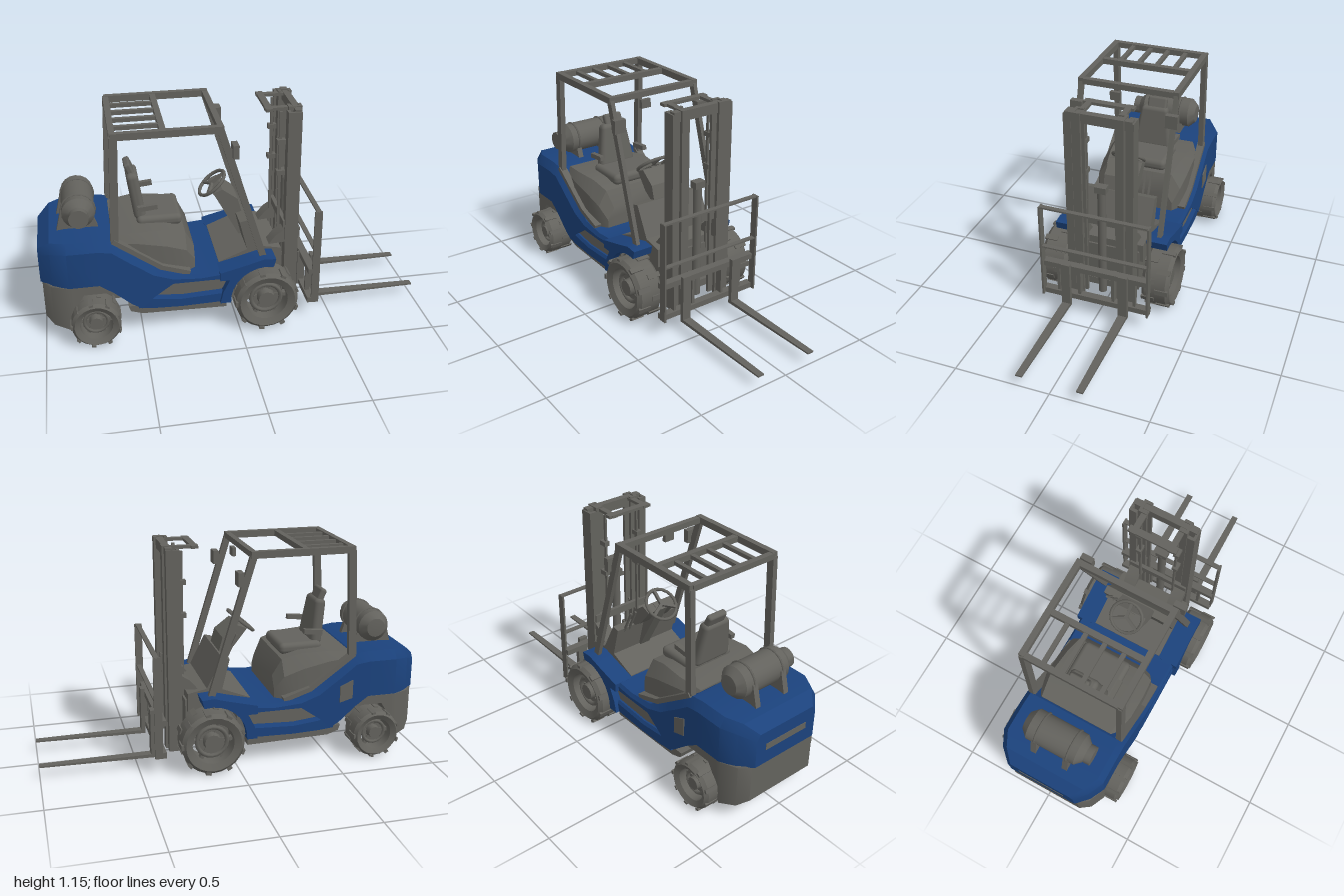
import * as THREE from 'three';
import { toCreasedNormals } from 'three/addons/utils/BufferGeometryUtils.js';
import { RoundedBoxGeometry } from 'three/addons/geometries/RoundedBoxGeometry.js';

const gray = new THREE.MeshStandardMaterial({ color: 0x63625d, side: THREE.DoubleSide });
gray.name = 'dark gray';
const blue = new THREE.MeshStandardMaterial({ color: 0x1b427c, side: THREE.DoubleSide });
blue.name = 'paint blue';

const V = (x, y, z) => new THREE.Vector3(x, y, z);

function add(parent, name, geometry, material = gray) {
  const mesh = new THREE.Mesh(geometry, material);
  mesh.name = name;
  parent.add(mesh);
  return mesh;
}

// box given by its limits on each axis
function box(parent, name, [x0, x1], [y0, y1], [z0, z1], material = gray) {
  const mesh = add(parent, name, new THREE.BoxGeometry(x1 - x0, y1 - y0, z1 - z0), material);
  mesh.position.set((x0 + x1) / 2, (y0 + y1) / 2, (z0 + z1) / 2);
  return mesh;
}

// straight bar between two points
function bar(parent, name, a, b, w = 0.03, h = w) {
  const mesh = add(parent, name, new THREE.BoxGeometry(w, h, a.distanceTo(b)));
  mesh.position.copy(a).lerp(b, 0.5);
  mesh.lookAt(b);
  return mesh;
}

// z limits mirrored to the given side
const span = (s, a, b) => s > 0 ? [a, b] : [-b, -a];

// side profile extruded across z
function profile(parent, name, points, [z0, z1], material = gray) {
  const shape = new THREE.Shape(points.map(([x, y]) => new THREE.Vector2(x, y)));
  const geometry = new THREE.ExtrudeGeometry(shape, { depth: z1 - z0, bevelEnabled: false });
  const mesh = add(parent, name, toCreasedNormals(geometry, 0.6), material);
  mesh.position.z = z0;
  return mesh;
}

// chamfered body lofted along x; station = [x, bottom, top, half width, chamfer]
function loft(parent, name, stations, material = gray) {
  const rings = stations.map(([x, b, t, w, c]) => [
    V(x, t, c - w), V(x, t, w - c), V(x, t - c * 1.6, w),
    V(x, b, w), V(x, b, -w), V(x, t - c * 1.6, -w)]);
  const n = 6, p = [];
  const tri = (...vs) => vs.forEach(v => p.push(v.x, v.y, v.z));
  for (let i = 0; i < rings.length - 1; i++) {
    for (let j = 0; j < n; j++) {
      const k = (j + 1) % n, r = rings[i], s = rings[i + 1];
      tri(r[j], r[k], s[k]);
      tri(r[j], s[k], s[j]);
    }
  }
  const first = rings[0], last = rings[rings.length - 1];
  for (let j = 1; j < n - 1; j++) {
    tri(first[0], first[j + 1], first[j]);
    tri(last[0], last[j], last[j + 1]);
  }
  const geometry = new THREE.BufferGeometry();
  geometry.setAttribute('position', new THREE.Float32BufferAttribute(p, 3));
  return add(parent, name, toCreasedNormals(geometry, 0.5), material);
}

// open-spoked wheel with a lugged tire, axis along z
function wheel(name, R, width) {
  const g = new THREE.Group(), h = width / 2;
  g.name = name;
  const section = [[0.64, -0.8], [0.85, -1], [0.96, -0.75], [0.96, 0.75], [0.85, 1], [0.64, 0.8], [0.64, -0.8]];
  const tire = new THREE.LatheGeometry(section.map(([r, y]) => new THREE.Vector2(r * R, y * h)), 24);
  add(g, 'tire', toCreasedNormals(tire, 0.5)).rotation.x = Math.PI / 2;
  for (let i = 0; i < 18; i++) {
    const a = i / 18 * Math.PI * 2, side = i % 2 ? 1 : -1;
    const lug = add(g, 'treadLug', new THREE.BoxGeometry(R * 0.08, R * 0.16, h * 0.95));
    lug.position.set(Math.cos(a) * R * 0.95, Math.sin(a) * R * 0.95, side * h * 0.5);
    lug.rotation.z = a;
  }
  add(g, 'rim', new THREE.TorusGeometry(R * 0.46, R * 0.07, 6, 20)).position.z = h * 0.35;
  const hub = add(g, 'hub', new THREE.CylinderGeometry(R * 0.25, R * 0.32, h * 1.3, 12));
  hub.rotation.x = Math.PI / 2;
  add(g, 'rimDisc', new THREE.CylinderGeometry(R * 0.47, R * 0.47, 0.02, 20)).rotation.x = Math.PI / 2;
  for (let i = 0; i < 6; i++) {
    const a = i / 6 * Math.PI * 2;
    bar(g, 'spoke', V(0, 0, 0), V(Math.cos(a) * R * 0.68, Math.sin(a) * R * 0.68, 0), 0.03, 0.02);
  }
  return g;
}

export function createModel() {
  const model = new THREE.Group();
  model.name = 'forklift';

  // painted body and lower chassis
  loft(model, 'bodyShell', [
    [-1, 0.33, 0.51, 0.19, 0.02], [-0.94, 0.33, 0.56, 0.25, 0.03], [-0.86, 0.33, 0.57, 0.29, 0.03],
    [-0.71, 0.33, 0.57, 0.29, 0.03], [-0.64, 0.28, 0.56, 0.29, 0.03], [-0.55, 0.2, 0.49, 0.29, 0.03],
    [-0.5, 0.17, 0.455, 0.29, 0.03], [-0.44, 0.23, 0.41, 0.29, 0.03], [-0.34, 0.3, 0.35, 0.29, 0.015],
    [-0.2, 0.3, 0.335, 0.29, 0.012], [-0.09, 0.3, 0.345, 0.29, 0.012]], blue);
  loft(model, 'sidePanelSill', [[-0.52, 0.17, 0.26, 0.285, 0.01], [-0.44, 0.165, 0.235, 0.29, 0.01],
    [-0.3, 0.16, 0.22, 0.29, 0.01], [-0.08, 0.165, 0.23, 0.29, 0.01]], blue);
  loft(model, 'counterweight', [[-0.99, 0.13, 0.335, 0.2, 0.005], [-0.95, 0.1, 0.335, 0.25, 0.005],
    [-0.87, 0.08, 0.335, 0.285, 0.005], [-0.84, 0.2, 0.335, 0.285, 0.005], [-0.79, 0.28, 0.335, 0.285, 0.005],
    [-0.63, 0.28, 0.335, 0.285, 0.005]]);
  box(model, 'rearFrame', [-0.86, -0.55], [0.17, 0.33], [-0.17, 0.17]);
  box(model, 'rearAxle', [-0.78, -0.7], [0.1, 0.17], [-0.24, 0.24]);
  box(model, 'stepRecess', [-0.48, 0], [0.17, 0.325], [-0.27, 0.27]);
  profile(model, 'underbody', [[-0.57, 0.17], [-0.56, 0.14], [-0.5, 0.12], [-0.06, 0.11], [-0.06, 0.17]], [-0.26, 0.26]);
  box(model, 'frontFrame', [-0.06, 0.25], [0.12, 0.36], [-0.18, 0.18]);
  box(model, 'frontAxle', [0.1, 0.18], [0.13, 0.22], [-0.25, 0.25]);
  box(model, 'rearGrille', [-1.002, -0.997], [0.405, 0.44], [-0.13, 0.13]);
  profile(model, 'sideVent', [[-0.62, 0.33], [-0.55, 0.31], [-0.55, 0.4], [-0.62, 0.43]], [-0.295, -0.288]);

  // front fenders: a flat top with a thin flange curving down behind the wheel
  const arc = (r, from, to) => Array.from({ length: 9 }, (_, i) => {
    const a = THREE.MathUtils.degToRad(from + (to - from) * i / 8);
    return [0.14 + Math.cos(a) * r, 0.175 + Math.sin(a) * r];
  });
  const fender = [[-0.1, 0.165], [-0.085, 0.23], [-0.05, 0.3], [-0.1, 0.3], [-0.1, 0.345], [0.04, 0.38],
    [0.13, 0.405], [0.19, 0.4], ...arc(0.185, 78, 183)];
  for (const s of [1, -1]) {
    profile(model, 'frontFender', fender, span(s, 0.2, 0.31), blue);

    const front = wheel('frontWheel', 0.17, 0.15);
    front.position.set(0.14, 0.175, s * 0.283);
    const rear = wheel('rearWheel', 0.13, 0.15);
    rear.position.set(-0.74, 0.135, s * 0.285);
    if (s < 0) front.rotation.y = rear.rotation.y = Math.PI;
    model.add(front, rear);
  }

  // seat hood and seat
  loft(model, 'seatHood', [[-0.63, 0.48, 0.56, 0.22, 0.02], [-0.5, 0.4, 0.575, 0.25, 0.03],
    [-0.36, 0.35, 0.57, 0.25, 0.045], [-0.26, 0.34, 0.54, 0.24, 0.05], [-0.215, 0.34, 0.45, 0.21, 0.04]]);
  const cushion = add(model, 'seatCushion', new RoundedBoxGeometry(0.23, 0.06, 0.27, 3, 0.025));
  cushion.position.set(-0.38, 0.575, -0.01);
  const back = add(model, 'seatBack', new RoundedBoxGeometry(0.06, 0.24, 0.22, 3, 0.025));
  back.geometry.attributes.position.array.forEach((v, i, p) => {
    if (i % 3 === 1 && v > 0) p[i + 1] *= 1 - v * 3;
  });
  back.position.set(-0.49, 0.7, -0.01);
  back.rotation.z = 0.14;
  const rest = add(model, 'headrest', new RoundedBoxGeometry(0.035, 0.075, 0.11, 2, 0.012));
  rest.position.set(-0.515, 0.83, -0.02);
  rest.rotation.z = 0.4;
  for (const z of [-0.15, 0.13]) bar(model, 'armrest', V(-0.49, 0.66, z), V(-0.39, 0.67, z), 0.025);

  // gas tank on its cradle
  const tank = add(model, 'gasTank', toCreasedNormals(new THREE.LatheGeometry(
    [[0, -0.18], [0.05, -0.175], [0.083, -0.14], [0.083, 0.13], [0.05, 0.165], [0.05, 0.2], [0, 0.2]]
      .map(([r, y]) => new THREE.Vector2(r, y)), 18), 0.7));
  tank.rotation.x = Math.PI / 2;
  tank.position.set(-0.785, 0.665, 0);
  for (const z of [-0.09, 0.09]) {
    profile(model, 'tankCradle', [[-0.9, 0.56], [-0.69, 0.56], [-0.71, 0.62], [-0.785, 0.59], [-0.87, 0.68]], [z - 0.015, z + 0.015]);
    const strap = add(model, 'tankStrap', new THREE.TorusGeometry(0.084, 0.006, 5, 18));
    strap.position.set(-0.785, 0.665, z);
  }

  // cowl, dashboard and steering
  profile(model, 'cowl', [[0.02, 0.57], [0.06, 0.58], [0.14, 0.42], [0.24, 0.4], [0.24, 0.3], [-0.09, 0.3], [-0.09, 0.35], [0.06, 0.41]], [-0.2, 0.2]);
  profile(model, 'dashboard', [[-0.1, 0.69], [-0.05, 0.71], [0.03, 0.65], [0.06, 0.54], [-0.03, 0.6]], [-0.09, 0.09]);
  bar(model, 'steeringColumn', V(-0.08, 0.7, 0), V(0.07, 0.42, 0), 0.06, 0.05);
  const steering = new THREE.Group();
  steering.name = 'steeringWheel';
  add(steering, 'steeringRim', new THREE.TorusGeometry(0.085, 0.009, 6, 20));
  for (const a of [0, 2.1, 4.2]) bar(steering, 'steeringSpoke', V(0, 0, 0), V(Math.cos(a) * 0.085, Math.sin(a) * 0.085, 0), 0.015);
  steering.position.set(-0.09, 0.71, 0);
  steering.rotation.set(-Math.PI / 2, -0.7, 0);
  model.add(steering);
  for (const z of [-0.15, -0.12]) bar(model, 'controlLever', V(0.03, 0.55, z), V(-0.03, 0.68, z), 0.01);

  // overhead guard
  for (const s of [1, -1]) {
    const z = s * 0.255;
    bar(model, 'rearPost', V(-0.62, 0.56, z), V(-0.595, 1.11, z), 0.028, 0.04);
    bar(model, 'frontPost', V(-0.085, 1.11, z), V(0.13, 0.4, z), 0.022, 0.035);
    bar(model, 'roofRail', V(-0.61, 1.115, z), V(-0.07, 1.115, z), 0.03, 0.035);
    bar(model, 'guardFootRail', V(-0.63, 0.565, z), V(-0.39, 0.39, z), 0.04, 0.025);
    bar(model, 'guardLowerRail', V(-0.4, 0.395, z), V(-0.25, 0.345, z), 0.04, 0.025);
    // work light on the front post
    box(model, 'workLight', [-0.03, 0], [0.965, 1.035], [z - 0.032, z + 0.032]);
    bar(model, 'lightBracket', V(-0.06, 1, z), V(-0.02, 1, z), 0.015);
  }
  for (const x of [-0.6, -0.36, -0.085]) bar(model, 'roofCrossbar', V(x, 1.115, -0.25), V(x, 1.115, 0.25), 0.03);
  for (const z of [-0.15, -0.05, 0.05, 0.15]) bar(model, 'roofSlat', V(-0.6, 1.115, z), V(-0.36, 1.115, z), 0.022, 0.02);
  box(model, 'mirror', [-0.075, -0.055], [1.045, 1.09], [0.035, 0.09]);

  // lift mast: paired channels on each side
  for (const s of [1, -1]) {
    const rail = (name, x0, x1, zIn, zOut, top) => {
      box(model, name + 'Web', [x0, x1], [0.08, top], span(s, zOut - 0.014, zOut));
      for (const x of [x0, x1 - 0.016]) box(model, name + 'Flange', [x, x + 0.016], [0.08, top], span(s, zIn, zOut));
    };
    rail('outerMast', 0.265, 0.335, 0.138, 0.178, 1.14);
    rail('innerMast', 0.275, 0.345, 0.088, 0.132, 1.155);
    bar(model, 'mastTopArm', V(0.16, 1.14, s * 0.1), V(0.3, 1.14, s * 0.1), 0.03, 0.015);
    bar(model, 'liftChain', V(0.245, 0.3, s * 0.1), V(0.245, 1.12, s * 0.1), 0.015, 0.01);
    for (const y of [0.78, 0.95]) box(model, 'hoseClamp', [0.225, 0.27], [y, y + 0.025], span(s, 0.09, 0.12));
    // tilt cylinder housing
    profile(model, 'tiltHousing', [[0.18, 0.41], [0.22, 0.46], [0.325, 0.53], [0.32, 0.42]], span(s, 0.1, 0.17));
  }
  bar(model, 'mastTopPlate', V(0.18, 1.14, -0.13), V(0.18, 1.14, 0.13), 0.035, 0.015);
  box(model, 'mastHead', [0.3, 0.335], [1.1, 1.15], [-0.17, 0.17]);
  for (const y of [0.12, 0.5]) box(model, 'mastCrossbar', [0.255, 0.275], [y, y + 0.04], [-0.17, 0.17]);
  const ram = add(model, 'liftCylinder', new THREE.CylinderGeometry(0.022, 0.022, 0.62, 12));
  ram.position.set(0.3, 0.42, 0);
  box(model, 'liftCylinderHead', [0.28, 0.325], [0.72, 0.755], [-0.03, 0.03]);

  // carriage and load backrest
  for (const y of [0.1, 0.275]) box(model, 'carriageBar', [0.37, 0.41], [y, y + 0.03], [-0.29, 0.29]);
  box(model, 'backrestTop', [0.4, 0.425], [0.633, 0.642], [-0.29, 0.29]);
  box(model, 'backrestMiddle', [0.4, 0.425], [0.398, 0.406], [-0.29, 0.29]);
  for (const s of [1, -1]) {
    box(model, 'backrestPost', [0.39, 0.43], [0.1, 0.64], span(s, 0.282, 0.292));
    box(model, 'carriagePlate', [0.36, 0.4], [0.1, 0.3], span(s, 0.085, 0.1));
    box(model, 'carriageEnd', [0.375, 0.4], [0.1, 0.3], span(s, 0.2, 0.215));

    // fork with a tapered blade
    box(model, 'forkShank', [0.41, 0.432], [0.06, 0.32], span(s, 0.132, 0.18));
    const blade = new THREE.BoxGeometry(0.585, 0.018, 0.046);
    const p = blade.attributes.position;
    for (let i = 0; i < p.count; i++) {
      if (p.getX(i) > 0) p.setXYZ(i, p.getX(i), p.getY(i) > 0 ? 0.006 : -0.002, p.getZ(i) * 0.75);
    }
    add(model, 'forkBlade', blade).position.set(0.7075, 0.068, s * 0.156);
  }
  return model;
}
